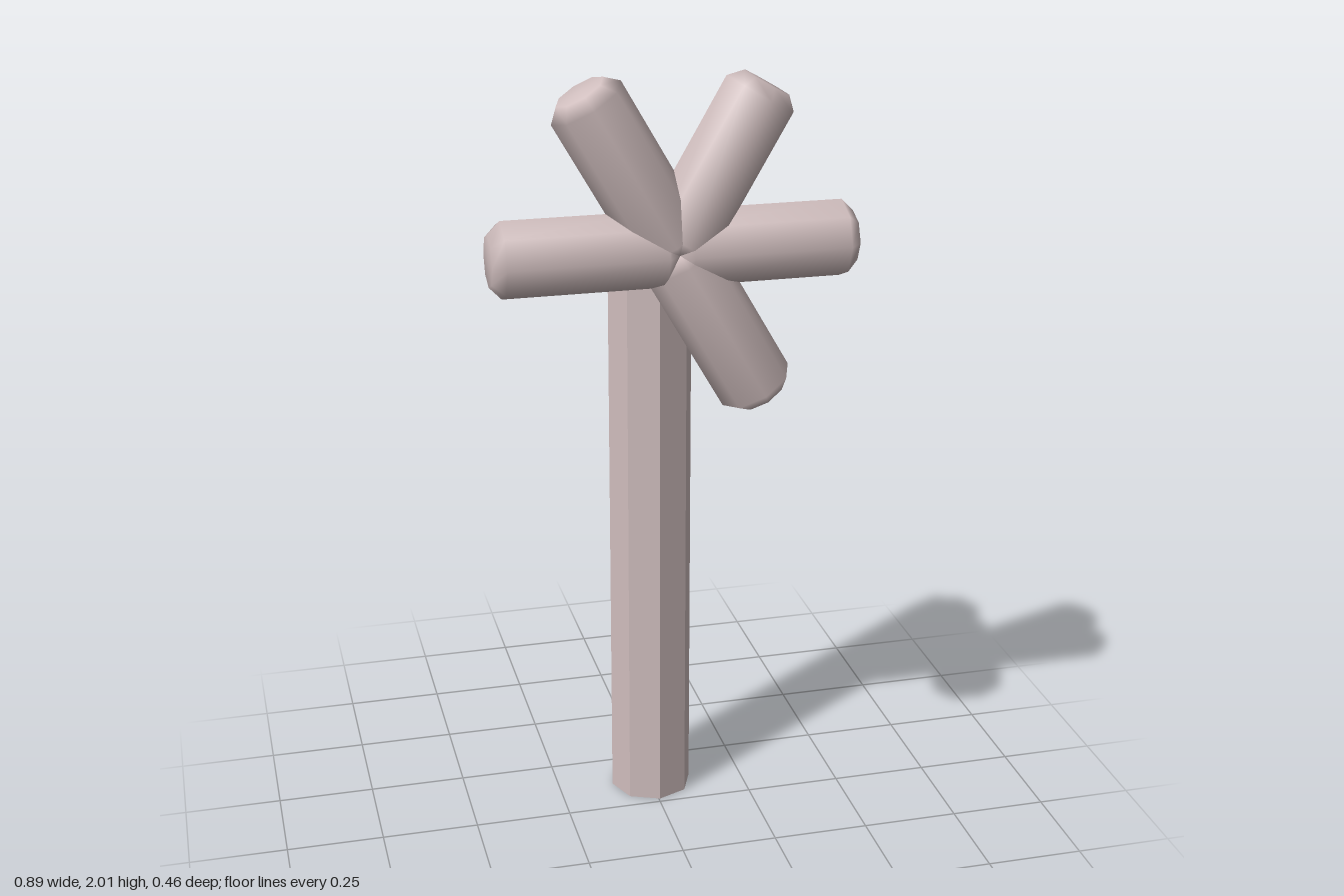
import * as THREE from 'three';

export function createModel() {
  const model = new THREE.Group();
  const clay = new THREE.MeshStandardMaterial({ color: 0xd0bebe });
  const faceted = clay.clone();
  faceted.flatShading = true;
  faceted.name = clay.name = 'pinkGrey';

  // Upright octagonal post, standing behind the arms
  const post = new THREE.Mesh(new THREE.CylinderGeometry(0.108, 0.108, 1.69, 8), faceted);
  post.name = 'post';
  post.position.set(0.003, 0.845, -0.122);
  model.add(post);

  // Arms: eight-sided rods with chamfered ends, fanning out from one hub
  const length = 0.445, radius = 0.095, tip = 0.064, bevel = 0.03;
  const profile = [
    [0, 0], [tip, 0], [radius, bevel],
    [radius, length - bevel], [tip, length], [0, length],
  ].map(([r, y]) => new THREE.Vector2(r, y));
  const rod = new THREE.LatheGeometry(profile, 8);

  const arms = new THREE.Group();
  arms.name = 'arms';
  arms.position.set(0, 1.59, 0.132);
  const angles = { leftArm: 0, upperLeftArm: 60, upperRightArm: 120, rightArm: 180, lowerLeftArm: 300 };
  for (const [name, degrees] of Object.entries(angles)) {
    const arm = new THREE.Mesh(rod, clay);
    arm.name = name;
    arm.rotation.z = THREE.MathUtils.degToRad(degrees - 90);
    arms.add(arm);
  }
  model.add(arms);
  return model;
}
